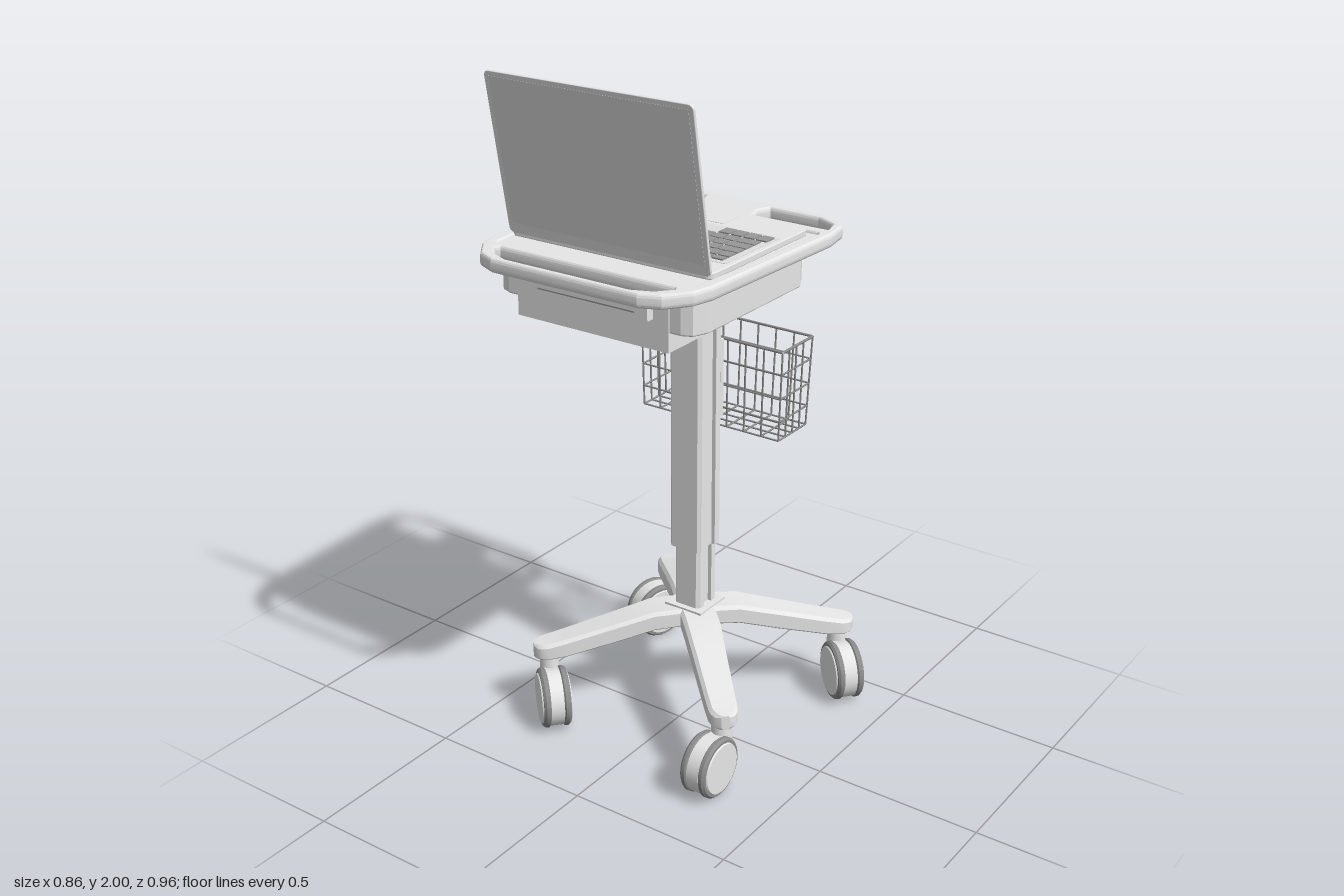
import * as THREE from 'three';
import { toCreasedNormals } from 'three/addons/utils/BufferGeometryUtils.js';

const CX = -0.023; // centre line of the cart

function mat(name, color) {
  const m = new THREE.MeshStandardMaterial({ color });
  m.name = name;
  return m;
}

export function createModel() {
  const root = new THREE.Group();
  root.name = 'laptopCart';
  const body = mat('light grey', 0xebebeb);
  const dark = mat('key grey', 0x989898);
  const tread = mat('tread grey', 0x8c8c8c);
  const wire = mat('wire grey', 0x8c8c8c);
  const panel = mat('panel grey', 0xe0e0e0);

  const add = (name, geo, m, parent = root) => {
    const mesh = new THREE.Mesh(geo, m);
    mesh.name = name;
    parent.add(mesh);
    return mesh;
  };
  // Box given by its limits
  const box = (name, x0, x1, y0, y1, z0, z1, m = body, parent = root) => {
    const b = add(name, new THREE.BoxGeometry(x1 - x0, y1 - y0, z1 - z0), m, parent);
    b.position.set((x0 + x1) / 2, (y0 + y1) / 2, (z0 + z1) / 2);
    return b;
  };
  const vecs = (pts) => pts.map(([x, z]) => new THREE.Vector2(x, z));
  // Half outline (half width, z) mirrored about the centre line
  const mirror = (half) => [
    ...half.map(([w, z]) => [CX + w, z]),
    ...half.slice().reverse().map(([w, z]) => [CX - w, z]),
  ];
  // Horizontal plate from an (x, z) outline, with rounded edges and flat faces
  const plate = (name, pts, holes, y0, y1, bevel, parent = root, inset = bevel) => {
    const shape = new THREE.Shape(vecs(pts));
    holes.forEach((h) => shape.holes.push(new THREE.Path(vecs(h))));
    const g = new THREE.ExtrudeGeometry(shape, {
      depth: y1 - y0 - 2 * bevel, bevelEnabled: bevel > 0, bevelThickness: bevel,
      bevelSize: inset, bevelOffset: -inset, bevelSegments: 4,
    });
    g.rotateX(Math.PI / 2).translate(0, y1 - bevel, 0);
    return add(name, toCreasedNormals(g, 0.15), body, parent);
  };
  // Rectangle outline with rounded corners
  const rounded = (x0, x1, z0, z1, r) => {
    const pts = [];
    [[x1 - r, z1 - r], [x0 + r, z1 - r], [x0 + r, z0 + r], [x1 - r, z0 + r]].forEach(([cx, cz], q) => {
      for (let i = 0; i <= 4; i++) {
        const a = (q + i / 4) * Math.PI / 2;
        pts.push([cx + r * Math.cos(a), cz + r * Math.sin(a)]);
      }
    });
    return pts;
  };

  // Tray rim with two rear grips and a front handle
  const rim = mirror([[0.24, -0.352], [0.275, -0.343], [0.348, -0.312], [0.364, -0.29], [0.378, -0.21],
    [0.358, 0.325], [0.342, 0.39], [0.292, 0.455], [0.235, 0.48]]);
  const grip = [[0.346, -0.237], [0.331, -0.288], [0.268, -0.318], [0.112, -0.318], [0.095, -0.28], [0.108, -0.237]];
  const gripHole = (s) => grip.map(([w, z]) => [CX + s * w, z]);
  const handleHole = mirror([[0.28, 0.387], [0.288, 0.396], [0.255, 0.435], [0.2, 0.457]]);
  const well = mirror([[0.335, -0.2], [0.343, -0.19], [0.315, 0.352], [0.305, 0.361]]);
  plate('trayRim', rim, [gripHole(1), gripHole(-1), handleHole, well], 1.505, 1.545, 0.017, root, 0.008);
  plate('trayPanel', mirror([[0.352, -0.21], [0.325, 0.37]]), [], 1.51, 1.536, 0);

  // Housing and drawer below the tray, both notched around the column
  plate('trayHousing', mirror([[0.09, -0.045], [0.09, -0.205], [0.25, -0.205], [0.3, -0.185], [0.33, -0.13],
    [0.328, 0.3], [0.31, 0.345], [0.28, 0.358]]), [], 1.405, 1.512, 0.006);
  plate('drawer', mirror([[0.09, -0.045], [0.09, -0.158], [0.246, -0.158], [0.246, 0.362]]), [], 1.353, 1.48, 0);
  box('drawerPull', -0.22, 0.175, 1.435, 1.472, 0.36, 0.386);
  box('drawerSlot', -0.18, 0.135, 1.451, 1.455, 0.384, 0.387, dark);

  // Telescopic column with side grooves
  const column = (name, w, z0, z1, y0, y1) => {
    const g = 0.012, a = z0 + (z1 - z0) * 0.3, b = z0 + (z1 - z0) * 0.7;
    plate(name, mirror([[w - 0.01, z0], [w, z0 + 0.01], [w, a], [w - g, a], [w - g, b], [w, b],
      [w, z1 - 0.01], [w - 0.01, z1]]), [], y0, y1, 0);
  };
  column('upperColumn', 0.055, -0.17, -0.058, 0.54, 1.512);
  column('lowerColumn', 0.045, -0.163, -0.068, 0.33, 0.6);
  box('columnFoot', CX - 0.065, CX + 0.065, 0.3, 0.347, -0.18, -0.05);

  // Leg lofted along +z from chamfered sections: distance, half width, top, bottom
  const sections = [[0, 0.055, 0.343, 0.285], [0.13, 0.054, 0.338, 0.277], [0.25, 0.049, 0.305, 0.243],
    [0.4, 0.044, 0.264, 0.205], [0.45, 0.042, 0.252, 0.198], [0.468, 0.038, 0.249, 0.198],
    [0.483, 0.028, 0.247, 0.198], [0.492, 0.012, 0.245, 0.2]];
  const legGeometry = () => {
    const pos = [], idx = [], n = 8;
    sections.forEach(([d, w, t, b]) => {
      const c = Math.min(0.01, w * 0.4);
      [[w, b + 0.008], [w, t - c], [w - c, t], [c - w, t], [-w, t - c], [-w, b + 0.008], [c - w, b], [w - c, b]]
        .forEach(([x, y]) => pos.push(x, y, d));
    });
    for (let s = 0; s < sections.length - 1; s++) {
      for (let i = 0; i < n; i++) {
        const a = s * n + i, b = s * n + (i + 1) % n;
        idx.push(a, b, b + n, a, b + n, a + n);
      }
    }
    const last = (sections.length - 1) * n;
    for (let i = 1; i < n - 1; i++) idx.push(last, last + i, last + i + 1);
    const g = new THREE.BufferGeometry();
    g.setAttribute('position', new THREE.Float32BufferAttribute(pos, 3));
    g.setIndex(idx);
    return toCreasedNormals(g, 0.5);
  };

  // Twin wheel caster trailing along local +z, with a broad cover between the wheels
  const wheelProfile = [[0.001, -0.011], [0.084, -0.011], [0.09, -0.006], [0.09, 0.004], [0.084, 0.011], [0.001, 0.011]];
  const makeCaster = () => {
    const c = new THREE.Group();
    c.name = 'caster';
    add('casterStem', new THREE.CylinderGeometry(0.028, 0.03, 0.07, 20), body, c).position.set(0, 0.175, 0);
    const cover = add('casterCover', new THREE.CylinderGeometry(0.086, 0.086, 0.04, 32), body, c);
    cover.rotation.z = Math.PI / 2;
    cover.position.set(0, 0.09, 0.06);
    box('casterNeck', -0.02, 0.02, 0.1, 0.17, -0.028, 0.03, body, c);
    for (const s of [-1, 1]) {
      const g = toCreasedNormals(new THREE.LatheGeometry(vecs(wheelProfile), 32), 0.4);
      const w = add('wheel', g, tread, c);
      w.rotation.z = -s * Math.PI / 2;
      w.position.set(s * 0.03, 0.09, 0.06);
      const cap = add('wheelCap', new THREE.CylinderGeometry(0.074, 0.077, 0.005, 32), body, c);
      cap.rotation.z = -s * Math.PI / 2;
      cap.position.set(s * 0.0425, 0.09, 0.06);
    }
    return c;
  };
  // Each leg: x side, z side, caster direction
  [[1, 1, 0, 1], [-1, 1, 0.75, 0.66], [1, -1, 0.77, 0.63], [-1, -1, -0.39, 0.92]].forEach(([sx, sz, dx, dz]) => {
    const leg = add('leg', legGeometry(), body);
    leg.position.set(CX, 0, -0.115);
    leg.rotation.y = Math.atan2(sx, sz);
    const c = makeCaster();
    c.position.set(CX + sx * 0.313, 0, -0.115 + sz * 0.318);
    c.rotation.y = Math.atan2(dx, dz);
    root.add(c);
  });

  // Wire basket behind the column
  const basket = new THREE.Group();
  basket.name = 'basket';
  root.add(basket);
  const rod = (pts, r = 0.0028) => {
    for (let i = 0; i < pts.length - 1; i++) {
      const line = new THREE.LineCurve3(new THREE.Vector3(...pts[i]), new THREE.Vector3(...pts[i + 1]));
      add('basketWire', new THREE.TubeGeometry(line, 1, r, 8), wire, basket);
    }
  };
  const TOP = 1.178, LOW = 0.906, zNear = -0.187;
  const half = (y) => 0.237 + 0.008 * (y - LOW) / (TOP - LOW);
  const zBack = (y) => -0.335 - 0.012 * (y - LOW) / (TOP - LOW);
  for (const y of [TOP, 1.11, 1.035, 0.965, LOW]) {
    const w = half(y), zb = zBack(y);
    rod([[CX - w, y, zNear], [CX + w, y, zNear], [CX + w, y, zb], [CX - w, y, zb], [CX - w, y, zNear]],
      y === TOP ? 0.004 : 0.0028);
  }
  for (let i = 0; i <= 8; i++) {
    const t = i / 4 - 1, x0 = CX + t * half(LOW), x1 = CX + t * half(TOP);
    rod([[x1, TOP, zNear], [x0, LOW, zNear], [x0, LOW, zBack(LOW)], [x1, TOP, zBack(TOP)]]);
  }
  for (let i = 1; i <= 3; i++) {
    const z = zNear + (zBack(LOW) - zNear) * i / 4;
    rod([[CX - half(TOP), TOP, z], [CX - half(LOW), LOW, z], [CX + half(LOW), LOW, z], [CX + half(TOP), TOP, z]]);
  }
  box('basketBracket', CX - 0.05, CX + 0.05, 0.94, 1.18, -0.182, -0.168);

  // Laptop, opened towards the back of the cart
  const laptop = new THREE.Group();
  laptop.name = 'laptop';
  root.add(laptop);
  plate('laptopBase', rounded(-0.357, 0.297, -0.182, 0.28, 0.018), [], 1.538, 1.556, 0.003, laptop);
  box('keyboardPanel', -0.342, 0.282, 1.554, 1.557, -0.064, 0.195, panel, laptop);
  box('trackpad', -0.075, 0.087, 1.554, 1.557, -0.168, -0.083, body, laptop);
  const button = add('powerButton', new THREE.CylinderGeometry(0.021, 0.021, 0.004, 24), body, laptop);
  button.position.set(-0.297, 1.5555, 0.23);
  // Key rows: z centre, depth, start x, widths in key units
  const U = 0.0395;
  const one = (n) => Array(n).fill(1);
  [[-0.03, 0.04, -0.22, one(3)], [-0.03, 0.04, 0.118, one(4)],
    [0.016, 0.034, -0.328, [0.9, 2.5, ...one(10), 1.6]],
    [0.055, 0.034, -0.328, [0.9, 1.3, ...one(11), 1.8]],
    [0.094, 0.034, -0.328, [0.9, 1.4, ...one(11), 1.7]],
    [0.133, 0.034, -0.328, [0.9, 3.1, ...one(11)]],
    [0.168, 0.022, -0.328, one(15)]].forEach(([z, d, x, widths]) => {
    for (const w of widths) {
      box('key', x + 0.003, x + w * U - 0.003, 1.556, 1.561, z - d / 2, z + d / 2, dark, laptop);
      x += w * U;
    }
  });

  // Lid hinged on the far edge
  const lid = new THREE.Group();
  lid.name = 'laptopLid';
  lid.position.set(0, 1.548, 0.283);
  lid.rotation.x = 0.176;
  laptop.add(lid);
  const shell = plate('lidShell', rounded(-0.357, 0.297, -0.459, 0, 0.015), [], -0.009, 0, 0.002, lid);
  shell.rotation.x = Math.PI / 2;
  box('screen', -0.342, 0.282, 0.03, 0.445, -0.0015, 0.0005, panel, lid);
  for (const x of [-0.295, 0.235]) {
    const h = add('hinge', new THREE.CylinderGeometry(0.005, 0.005, 0.09, 12), dark, laptop);
    h.rotation.z = Math.PI / 2;
    h.position.set(x, 1.555, 0.274);
  }
  return root;
}
